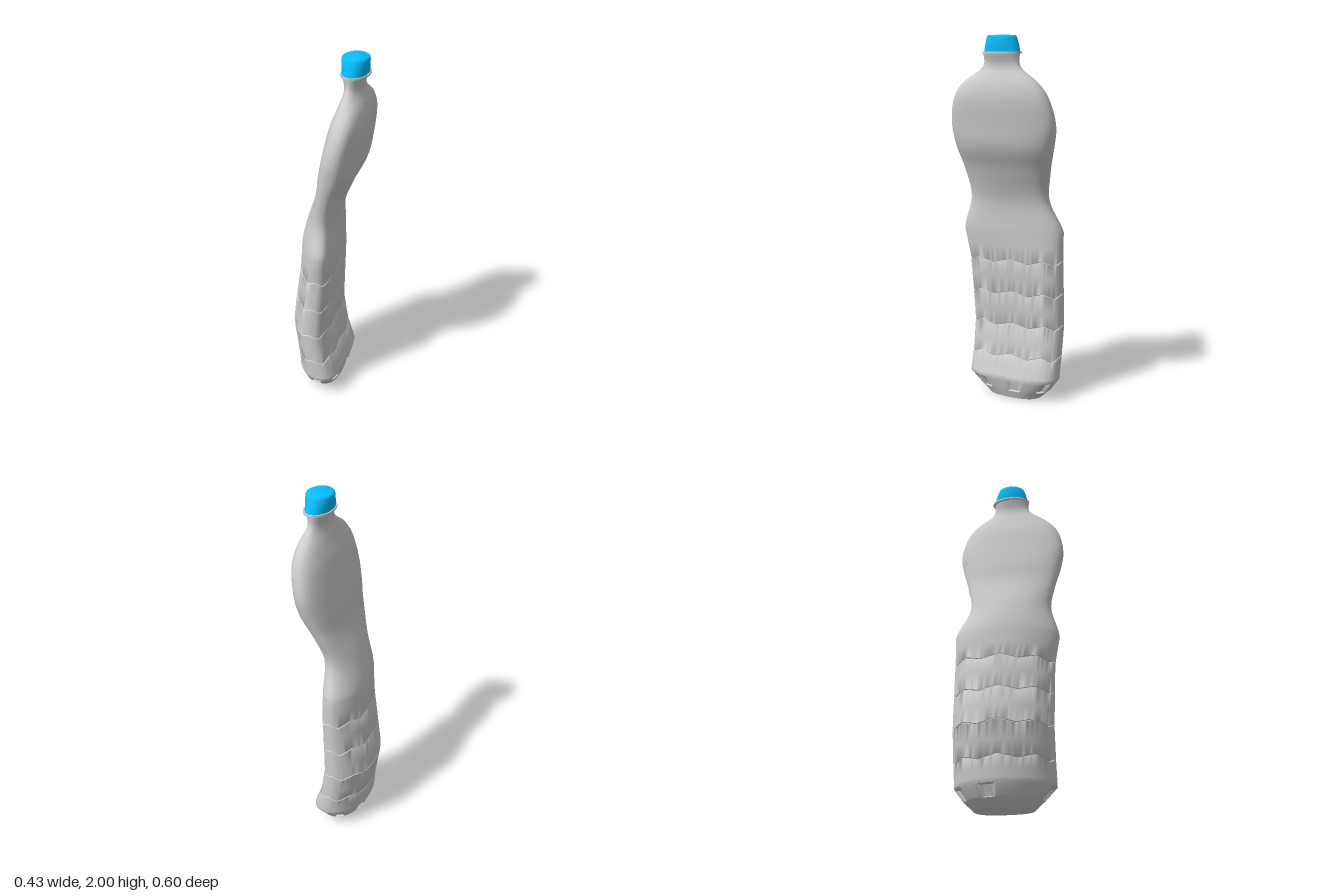
import * as THREE from 'three';
import { toCreasedNormals } from 'three/addons/utils/BufferGeometryUtils.js';

const COLUMNS = 112;
const WAIST = 0.95; // straight-sided below, smoothly curved above
const NECK_TOP = 1.915;
const grey = new THREE.MeshStandardMaterial({ color: 0xcccccc });
const blue = new THREE.MeshStandardMaterial({ color: 0x08bfff });
const { lerp, smoothstep } = THREE.MathUtils;

// Body cross-sections: height, x range, z range, skew of x along z
const SECTIONS = [
  [0.00, -0.11, 0.068, -0.17, 0.14, 0.05],
  [0.05, -0.152, 0.087, -0.222, 0.193, 0.05],
  [0.12, -0.18, 0.108, -0.275, 0.25, 0.07],
  [0.24, -0.19, 0.065, -0.275, 0.25, 0.08],
  [0.42, -0.217, 0.04, -0.275, 0.25, 0.09],
  [0.79, -0.17, 0.067, -0.275, 0.255, 0.15],
  [WAIST, -0.16, 0.082, -0.275, 0.28, 0.2],
  [1.13, -0.105, 0.076, -0.205, 0.237, 0.15],
  [1.30, -0.042, 0.125, -0.238, 0.262, 0.08],
  [1.42, -0.022, 0.18, -0.275, 0.288, 0.06],
  [1.54, 0.003, 0.20, -0.297, 0.30, 0.06],
  [1.68, 0.035, 0.216, -0.268, 0.27, 0.06],
  [1.76, 0.065, 0.203, -0.215, 0.21, 0.05],
  [1.84, 0.088, 0.171, -0.118, 0.103, 0],
  [NECK_TOP, 0.068, 0.192, -0.11, 0.097, 0],
];
const GROOVES = [0.24, 0.415, 0.60, 0.785];

// Interpolate the sections: linear in the lower body, cubic above
function sectionAt(y) {
  const i = Math.max(1, SECTIONS.findIndex((s) => s[0] >= y - 1e-6));
  const a = SECTIONS[i - 1], b = SECTIONS[i];
  const before = SECTIONS[Math.max(0, i - 2)];
  const after = SECTIONS[Math.min(SECTIONS.length - 1, i + 1)];
  const h = b[0] - a[0], f = (y - a[0]) / h;
  return a.map((v, k) => {
    if (k === 0) return y;
    if (y <= WAIST) return lerp(v, b[k], f);
    const ma = (b[k] - before[k]) / (b[0] - before[0]) * h;
    const mb = (after[k] - v) / (after[0] - a[0]) * h;
    return v + f * ma + f * f * (3 * (b[k] - v) - 2 * ma - mb) + f ** 3 * (2 * (v - b[k]) + ma + mb);
  });
}

// Ring of points on a crushed oval: fuller on +x, skewed, its lower ends bent to +x
function ovalRing([y, x0, x1, z0, z1, skew = 0], scale = 1, lift = 0) {
  const full = 1 - smoothstep(y, 1.75, 1.84);
  const right = 2 + 0.5 * full;
  const left = 2 + 0.3 * full * smoothstep(y, 1, 1.3);
  const bend = 0.035 * smoothstep(y, 0, 0.15) * (1 - smoothstep(y, 1, 1.3));
  const a = (x1 - x0) / 2, b = (z1 - z0) / 2;
  const ring = Array.from({ length: COLUMNS }, (_, j) => {
    const t = (j / COLUMNS) * Math.PI * 2, c = Math.cos(t), s = Math.sin(t);
    const p = c > 0 ? right : left;
    const x = Math.sign(c) * a * Math.max(0, 1 - Math.abs(s) ** p) ** (1 / p);
    return new THREE.Vector3(x + skew * b * s + bend * s * s, y + lift, (z0 + z1) / 2 + b * s * scale);
  });
  // Fit the bent oval to its x range
  const xs = ring.map((v) => v.x);
  const lo = Math.min(...xs), hi = Math.max(...xs);
  for (const v of ring) v.x = (x0 + x1) / 2 + scale * ((v.x - lo) / (hi - lo) - 0.5) * (x1 - x0);
  return ring;
}

// Skin a list of rings
function loft(rings, crease) {
  const pos = [], index = [];
  rings.forEach((ring, i) => {
    ring.forEach((point, j) => {
      pos.push(...point.toArray());
      if (i === 0) return;
      const k = (j + 1) % COLUMNS, lo = (i - 1) * COLUMNS, hi = i * COLUMNS;
      index.push(lo + j, hi + j, lo + k, lo + k, hi + j, hi + k);
    });
  });
  const geo = new THREE.BufferGeometry();
  geo.setAttribute('position', new THREE.Float32BufferAttribute(pos, 3));
  geo.setIndex(index);
  return toCreasedNormals(geo, crease);
}

function bodyRings() {
  const rows = [];
  // Hollow under the base, ordered below everything else
  for (const [s, lift] of [[0, 0.045], [0.5, 0.038], [0.85, 0.012]]) {
    rows.push({ y: s - 1, ring: ovalRing(SECTIONS[0], s, lift) });
  }
  // Plain rows
  const heights = [0, 0.02, 0.12, 0.135, 0.18, 0.32, 0.5, 0.7, 0.87];
  for (let i = 0; i <= 40; i++) heights.push(lerp(WAIST, NECK_TOP, i / 40));
  for (const y of heights) rows.push({ y, ring: ovalRing(sectionAt(y)) });
  // Small dents around the foot, none on the front left corner
  const inDent = (j) => (j + 6) % 16 < 6 && (j < 38 || j > 54);
  for (const [y, scale] of [[0.045, 1], [0.05, 0.91], [0.106, 0.91], [0.111, 1]]) {
    const outer = ovalRing(sectionAt(y)), inner = ovalRing(sectionAt(y), scale);
    rows.push({ y, ring: outer.map((v, j) => (inDent(j) ? inner[j] : v)) });
  }
  // Zigzag grooves, eight peaks each: the two heights are blended column by column
  for (const g of GROOVES) {
    for (const [dy, scale] of [[-0.0035, 1], [0, 0.975], [0.0035, 1]]) {
      const low = ovalRing(sectionAt(g + dy - 0.012), scale);
      const high = ovalRing(sectionAt(g + dy + 0.012), scale);
      rows.push({ y: g + dy, ring: low.map((v, j) => v.lerp(high[j], Math.abs((j % 14) / 7 - 1))) });
    }
  }
  return rows.sort((p, q) => p.y - q.y).map((r) => r.ring);
}

// Closed stack of ovals
function ovalStack(sections, crease) {
  const top = sections[sections.length - 1];
  return loft([ovalRing(sections[0], 0), ...sections.map((s) => ovalRing(s)), ovalRing(top, 0)], crease);
}

export function createModel() {
  const model = new THREE.Group();
  model.name = 'crushedBottle';
  const add = (name, geo, mat) => {
    const mesh = new THREE.Mesh(geo, mat);
    mesh.name = name;
    model.add(mesh);
  };

  add('body', loft(bodyRings(), 0.85), grey);

  // Collar under the cap
  add('neckRing', ovalStack([
    [1.907, 0.058, 0.203, -0.122, 0.098],
    [1.916, 0.058, 0.203, -0.122, 0.098],
  ], 0.7), grey);

  // Squashed tapered cap with a soft top edge
  add('cap', ovalStack([
    [1.916, 0.065, 0.196, -0.112, 0.09],
    [1.95, 0.062, 0.198, -0.104, 0.083],
    [1.985, 0.06, 0.2, -0.091, 0.073],
    [1.996, 0.063, 0.197, -0.087, 0.068],
    [2.0, 0.07, 0.19, -0.08, 0.062],
  ], 1.0), blue);
  return model;
}
